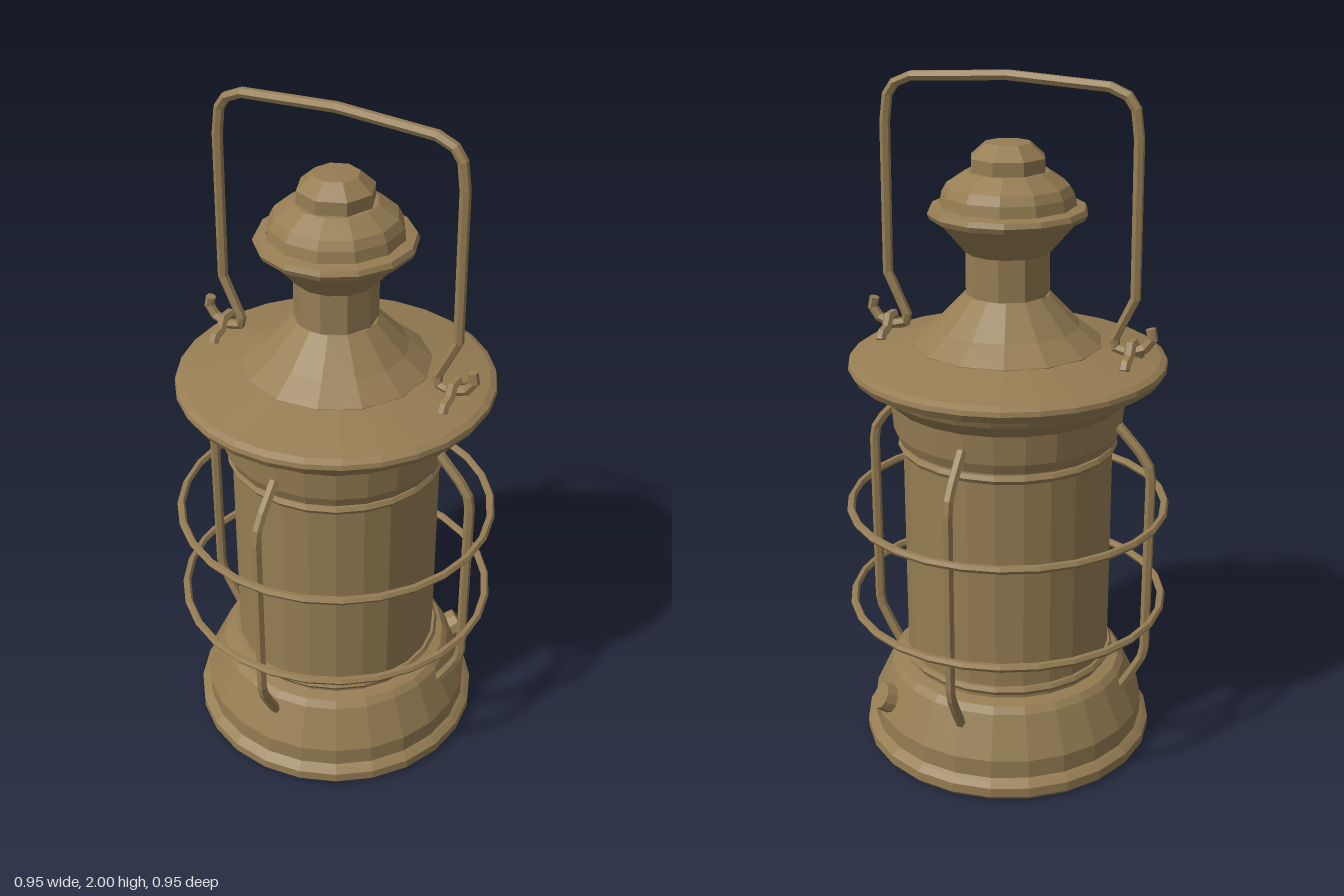
import * as THREE from 'three';

const brass = new THREE.MeshStandardMaterial({ color: 0x967d53, flatShading: true });

// Path with straight runs and a mitred ring of vertices at every corner
class Polyline extends THREE.Curve {
  constructor(points) { super(); this.points = points; }
  getPoint(t, out = new THREE.Vector3()) {
    const s = t * (this.points.length - 1);
    const i = Math.min(Math.floor(s + 1e-6), this.points.length - 2);
    return out.lerpVectors(this.points[i], this.points[i + 1], s - i);
  }
  getPointAt(t, out) { return this.getPoint(t, out); }
  getTangentAt(t, out = new THREE.Vector3()) {
    const p = this.points, n = p.length - 1, i = Math.round(t * n);
    out.set(0, 0, 0);
    if (i > 0) out.add(p[i].clone().sub(p[i - 1]).normalize());
    if (i < n) out.add(p[i + 1].clone().sub(p[i]).normalize());
    return out.normalize();
  }
}

function add(parent, name, geometry) {
  const mesh = new THREE.Mesh(geometry, brass);
  mesh.name = name;
  parent.add(mesh);
  return mesh;
}

// Profile of [radius, y] pairs listed from bottom to top
function turned(parent, name, sides, profile) {
  return add(parent, name, new THREE.LatheGeometry(profile.map(([r, y]) => new THREE.Vector2(r, y)), sides));
}

// Wire through [x, y] pairs in the local xy plane, with capped ends
function wire(parent, name, radius, pairs) {
  const pts = pairs.map(([x, y]) => new THREE.Vector3(x, y, 0));
  const group = new THREE.Group();
  group.name = name;
  add(group, name + 'Rod', new THREE.TubeGeometry(new Polyline(pts), pts.length - 1, radius, 6, false));
  [[pts[0], pts[1]], [pts[pts.length - 1], pts[pts.length - 2]]].forEach(([end, next]) => {
    const cap = add(group, name + 'End', new THREE.CircleGeometry(radius, 6));
    cap.position.copy(end);
    cap.lookAt(end.clone().multiplyScalar(2).sub(next));
  });
  parent.add(group);
  return group;
}

export function createModel() {
  const lantern = new THREE.Group();
  lantern.name = 'lantern';

  // Turned body, bottom to top
  turned(lantern, 'base', 24, [[0, 0], [0.425, 0], [0.435, 0.012], [0.435, 0.04], [0.42, 0.053],
    [0.41, 0.06], [0.41, 0.115], [0.355, 0.235], [0.338, 0.253], [0.3, 0.262]]);
  turned(lantern, 'glass', 24, [[0.304, 0.25], [0.304, 0.98]]);
  for (const y of [0.287, 0.948]) {
    const band = add(lantern, 'glassBand', new THREE.TorusGeometry(0.305, 0.014, 6, 24));
    band.rotation.x = Math.PI / 2;
    band.position.y = y;
  }
  turned(lantern, 'collar', 24, [[0.29, 0.968], [0.318, 0.97], [0.33, 1.0], [0.337, 1.085],
    [0.352, 1.1], [0.375, 1.125], [0.392, 1.165], [0.41, 1.17]]);
  turned(lantern, 'brim', 28, [[0.38, 1.165], [0.442, 1.165], [0.455, 1.187], [0.452, 1.2],
    [0.435, 1.21], [0.26, 1.25]]);
  turned(lantern, 'shoulder', 14, [[0.27, 1.235], [0.27, 1.25], [0.225, 1.285], [0.205, 1.3],
    [0.12, 1.39], [0.1, 1.39]]);
  turned(lantern, 'neck', 10, [[0.118, 1.38], [0.118, 1.52]]);
  turned(lantern, 'cap', 14, [[0.1, 1.51], [0.12, 1.51], [0.195, 1.598], [0.217, 1.605], [0.224, 1.62],
    [0.217, 1.634], [0.185, 1.64]]);
  turned(lantern, 'dome', 12, [[0.19, 1.638], [0.184, 1.67], [0.17, 1.695], [0.115, 1.732], [0, 1.735]]);
  turned(lantern, 'knob', 8, [[0.108, 1.725], [0.108, 1.77], [0.065, 1.808], [0, 1.812]]);

  // Filler button on the side of the base
  const button = add(lantern, 'fillerButton', new THREE.CylinderGeometry(0.04, 0.047, 0.06, 10));
  button.position.set(0.388, 0.167, 0);
  button.rotation.z = -Math.PI / 3;

  // Guard cage: two hoops and four bent rods on the diagonals
  for (const y of [0.455, 0.755]) {
    const hoop = add(lantern, 'guardHoop', new THREE.TorusGeometry(0.462, 0.012, 6, 28));
    hoop.rotation.x = Math.PI / 2;
    hoop.position.y = y;
  }
  for (let i = 0; i < 4; i++) {
    const rod = wire(lantern, 'guardRod', 0.015, [[0.355, 0.185], [0.4, 0.262], [0.427, 0.315], [0.434, 0.35],
      [0.434, 0.885], [0.427, 0.925], [0.4, 0.965], [0.335, 1.035]]);
    rod.rotation.y = Math.PI / 4 + i * Math.PI / 2;
  }

  // Bail handle with hooked ends, set across the diagonal
  const bail = new THREE.Group();
  bail.name = 'bail';
  bail.rotation.y = -Math.PI / 4;
  lantern.add(bail);
  const half = [[0.418, 1.33], [0.425, 1.3], [0.405, 1.272], [0.36, 1.255], [0.32, 1.265], [0.315, 1.29],
    [0.372, 1.41], [0.368, 1.84], [0.358, 1.915], [0.335, 1.948], [0.285, 1.969]];
  wire(bail, 'handle', 0.015, [...half, [0, 1.985], ...half.map(([x, y]) => [-x, y]).reverse()]);

  // Small arched brackets that hold the hooks
  for (const side of [-1, 1]) {
    const bracket = wire(bail, 'handleBracket', 0.016, [[-0.07, 1.225], [-0.06, 1.243], [-0.03, 1.25],
      [-0.015, 1.28], [0.015, 1.28], [0.03, 1.25], [0.06, 1.243], [0.07, 1.225]]);
    bracket.position.x = side * 0.367;
    bracket.rotation.y = Math.PI / 2;
  }
  return lantern;
}
